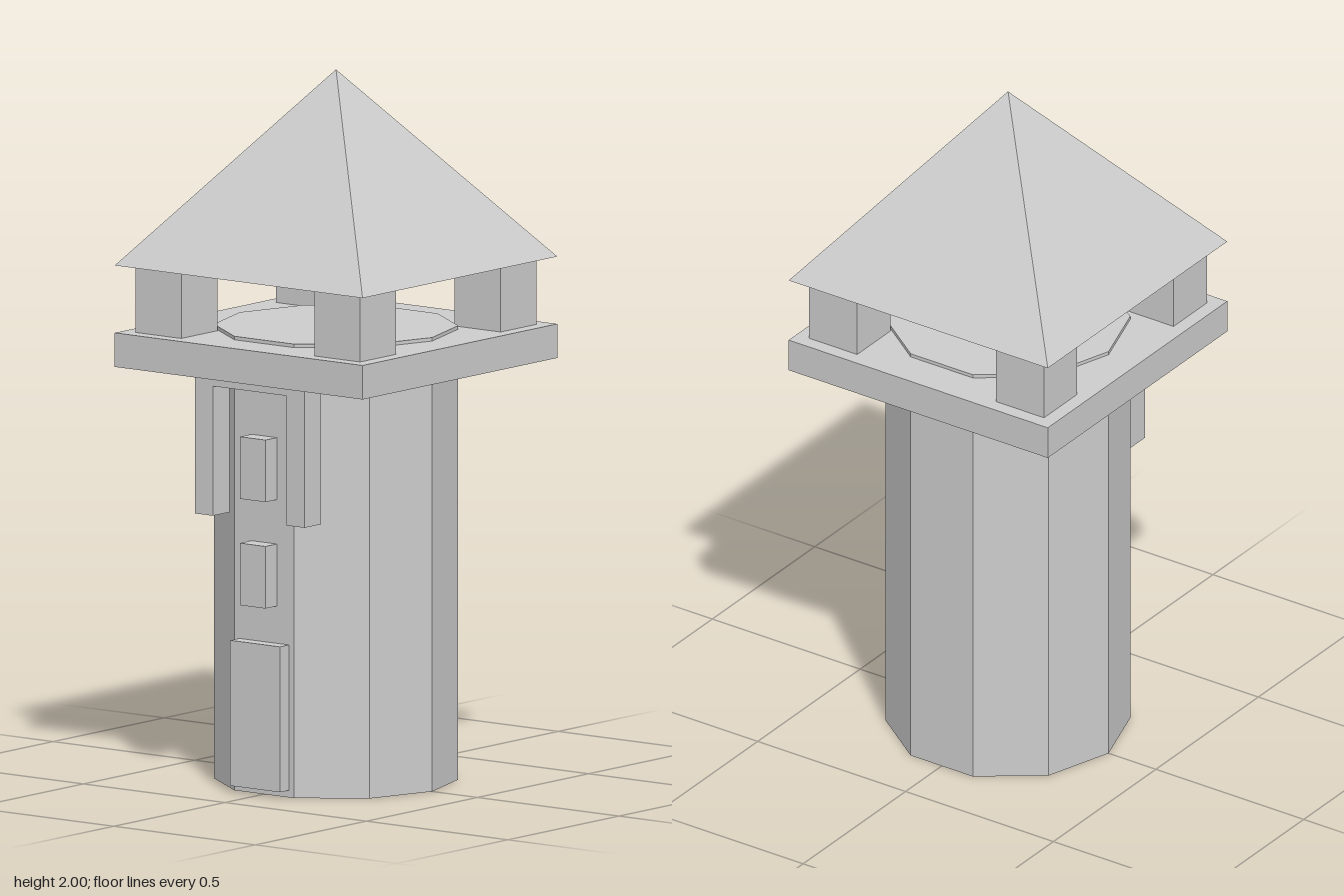
import * as THREE from 'three';

export function createModel() {
  const model = new THREE.Group();
  model.name = 'watchtower';
  const stone = new THREE.MeshStandardMaterial({ color: 0xcccccc });
  stone.name = 'light grey';

  function add(name, geometry) {
    // split the vertices so that every side is shaded flat
    const flat = geometry.index ? geometry.toNonIndexed() : geometry;
    flat.computeVertexNormals();
    const mesh = new THREE.Mesh(flat, stone);
    mesh.name = name;
    model.add(mesh);
    return mesh;
  }

  // box given by its lower and upper corners
  function box(name, x0, x1, y0, y1, z0, z1) {
    const mesh = add(name, new THREE.BoxGeometry(x1 - x0, y1 - y0, z1 - z0));
    mesh.position.set((x0 + x1) / 2, (y0 + y1) / 2, (z0 + z1) / 2);
    return mesh;
  }

  // ten-sided shaft with a flat side to the front, rising just above the platform
  const shaft = add('towerShaft', new THREE.CylinderGeometry(0.34, 0.34, 1.28, 10, 1, false, Math.PI / 10));
  shaft.position.y = 0.64;

  // lookout platform
  box('platform', -0.438, 0.438, 1.174, 1.27, -0.438, 0.438);

  // corner posts
  for (const sx of [-1, 1]) {
    for (const sz of [-1, 1]) {
      const post = add('cornerPost', new THREE.BoxGeometry(0.162, 0.19, 0.162));
      post.position.set(sx * 0.316, 1.365, sz * 0.316);
    }
  }

  // pyramid roof
  const roof = add('roof', new THREE.ConeGeometry(0.438 * Math.SQRT2, 0.54, 4, 1, false, Math.PI / 4));
  roof.position.y = 1.73;

  // door and the two windows above it
  box('door', -0.088, 0.088, 0.02, 0.43, 0.31, 0.364);
  box('lowerWindow', -0.045, 0.045, 0.535, 0.71, 0.31, 0.375);
  box('upperWindow', -0.045, 0.045, 0.835, 1.01, 0.31, 0.375);

  // hanging brackets joined by a beam under the platform
  for (const s of [-1, 1]) {
    const bracket = add('bracket', new THREE.BoxGeometry(0.064, 0.394, 0.075));
    bracket.position.set(s * 0.162, 0.977, 0.351);
  }
  box('bracketBeam', -0.13, 0.13, 1.145, 1.174, 0.315, 0.387);

  return model;
}
